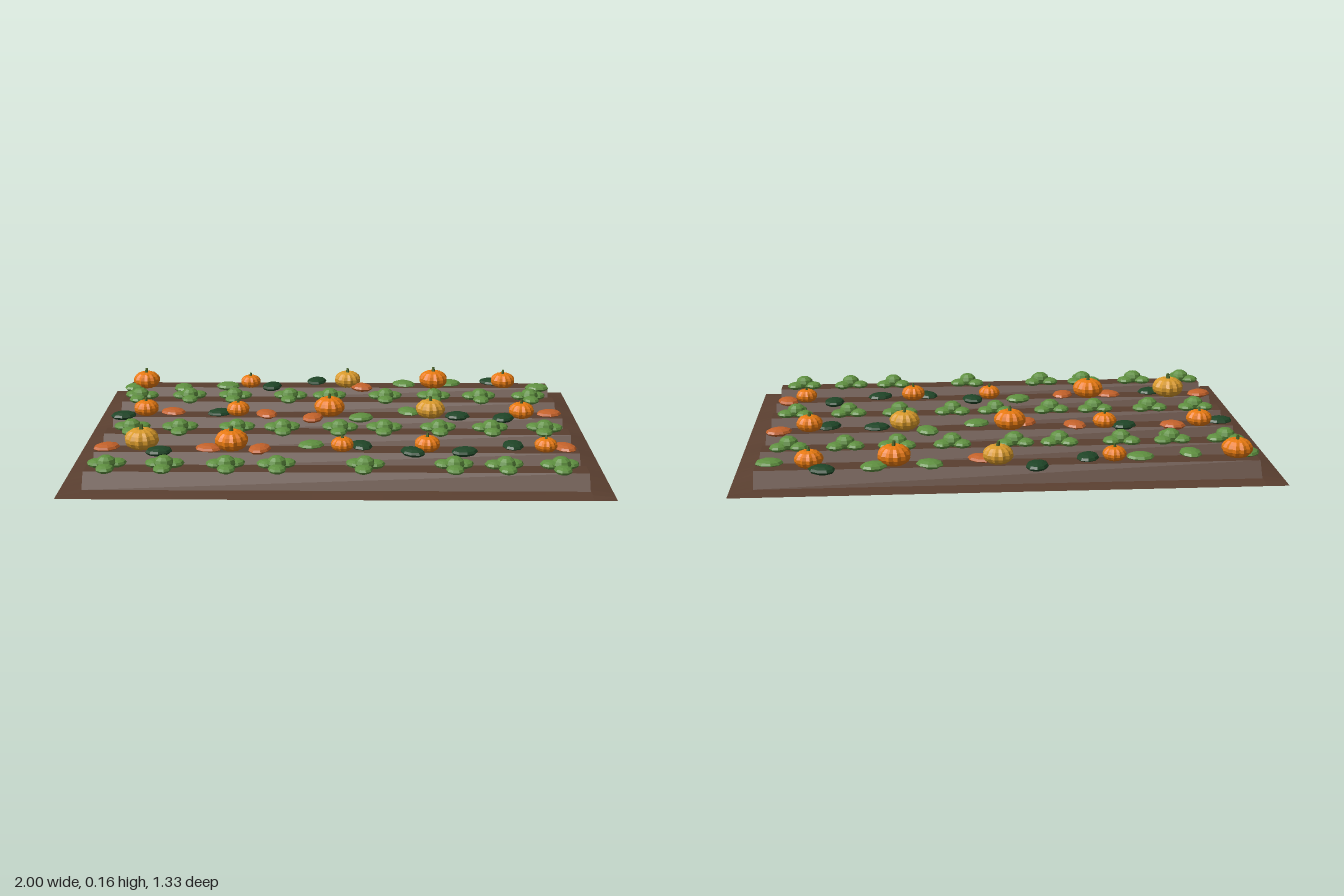
import * as THREE from 'three';

const mat = (name, color, extra = {}) => {
  const m = new THREE.MeshStandardMaterial({ color, flatShading: true, ...extra });
  m.name = name;
  return m;
};

export function createModel() {
  const soil = mat('soil', 0x5a3f30, { side: THREE.DoubleSide });
  const orange = mat('orange', 0xe87a10);
  const amber = mat('amber', 0xd99a2b);
  const rust = mat('rust', 0xc4622a);
  const leafGreen = mat('leafGreen', 0x5f9040);
  const darkGreen = mat('darkGreen', 0x1f4527);
  const stemGreen = mat('stemGreen', 0x4f6a2c);

  const model = new THREE.Group();
  model.name = 'pumpkinPatch';
  let seed = 7;
  const rand = () => (seed = (seed * 16807) % 2147483647) / 2147483647;
  const add = (parent, name, geo, material, x = 0, y = 0, z = 0) => {
    const m = new THREE.Mesh(geo, material);
    m.name = name;
    m.position.set(x, y, z);
    parent.add(m);
    return m;
  };

  // Ground sheet: edges at y = 0, gently rippled inside
  const groundGeo = new THREE.PlaneGeometry(2, 1.334, 24, 36).rotateX(-Math.PI / 2);
  const gp = groundGeo.attributes.position;
  for (let i = 0; i < gp.count; i++) {
    const x = gp.getX(i), z = gp.getZ(i);
    const edge = Math.min(1, (1 - Math.abs(x)) / 0.1, (0.667 - Math.abs(z)) / 0.12);
    const ripple = 0.004 * Math.cos((z * Math.PI * 2) / 0.214) + 0.003 * Math.sin(x * 7 + z * 11);
    gp.setY(i, Math.max(0, edge) * (0.021 + ripple));
  }
  groundGeo.computeVertexNormals();
  add(model, 'ground', groundGeo, soil);

  // Raised planting ridges with a trapezoid section
  const section = new THREE.Shape([
    new THREE.Vector2(-0.077, 0.012), new THREE.Vector2(0.077, 0.012),
    new THREE.Vector2(0.038, 0.068), new THREE.Vector2(-0.038, 0.068),
  ]);
  const ridgeGeo = new THREE.ExtrudeGeometry(section, { depth: 1.826, bevelEnabled: false })
    .translate(0, 0, -0.913).rotateY(Math.PI / 2);
  const rowZ = [-0.54, -0.326, -0.112, 0.102, 0.316, 0.53];
  rowZ.forEach((z) => add(model, 'ridge', ridgeGeo, soil, 0, 0, z));

  // Leafy plants: a raised heart with three low leaves
  const blob = new THREE.SphereGeometry(1, 9, 6);
  const plantRows = [
    [-0.326, [-0.84, -0.63, -0.44, -0.205, -0.035, 0.2, 0.405, 0.6, 0.81]],
    [0.102, [-0.81, -0.62, -0.395, -0.215, 0.01, 0.185, 0.4, 0.605, 0.815]],
    [0.53, [-0.835, -0.625, -0.4, -0.215, 0.105, 0.43, 0.615, 0.815]],
  ];
  for (const [z, xs] of plantRows) for (const x of xs) {
    const plant = new THREE.Group();
    plant.name = 'leafyPlant';
    plant.position.set(x, 0, z - 0.002);
    plant.rotation.y = (rand() - 0.5) * 0.3;
    model.add(plant);
    add(plant, 'heart', blob, leafGreen, 0, 0.09, 0).scale.set(0.037, 0.027, 0.037);
    for (let i = 0; i < 3; i++) {
      const a = Math.PI / 2 + (i * Math.PI * 2) / 3;
      const leaf = add(plant, 'leaf', blob, leafGreen, Math.cos(a) * 0.041, 0.08, Math.sin(a) * 0.041);
      leaf.scale.set(0.038, 0.016, 0.034);
      leaf.rotation.y = -a;
    }
  }

  // Ribbed pumpkin, radius 1, alternating ridge and groove
  const pumpkinGeo = new THREE.SphereGeometry(1, 24, 9);
  const pp = pumpkinGeo.attributes.position;
  for (let i = 0; i < pp.count; i++) {
    const x = pp.getX(i), y = pp.getY(i), z = pp.getZ(i);
    const r = 0.95 + 0.05 * Math.cos(12 * Math.atan2(z, x));
    const dimple = 1 - 0.15 * Math.max(0, 1 - Math.hypot(x, z) * 2.5);
    pp.setXYZ(i, x * r, y * 0.66 * dimple, z * r);
  }
  pumpkinGeo.computeVertexNormals();
  const stemGeo = new THREE.CylinderGeometry(0.09, 0.14, 0.4, 6);

  // x, z, radius, colour
  const pumpkins = [
    [-0.84, -0.517, 0.058, orange], [-0.385, -0.527, 0.044, orange], [0.04, -0.533, 0.057, amber],
    [0.415, -0.527, 0.062, orange], [0.72, -0.533, 0.053, orange],
    [-0.783, -0.12, 0.051, orange], [-0.407, -0.12, 0.047, orange], [-0.033, -0.12, 0.063, orange],
    [0.378, -0.1, 0.06, amber], [0.748, -0.097, 0.052, orange],
    [-0.738, 0.302, 0.066, amber], [-0.397, 0.31, 0.064, orange], [0.022, 0.317, 0.044, orange],
    [0.343, 0.317, 0.049, orange], [0.79, 0.317, 0.044, orange],
  ];
  for (const [x, z, r, m] of pumpkins) {
    const p = new THREE.Group();
    p.name = 'pumpkin';
    p.position.set(x, 0.06 + 0.66 * r, z);
    p.scale.setScalar(r);
    p.rotation.y = rand() * 6;
    model.add(p);
    add(p, 'pumpkinBody', pumpkinGeo, m);
    add(p, 'stem', stemGeo, stemGreen, 0, 0.68, 0).rotation.z = 0.12;
  }

  // Flat gourds and leaves beside the pumpkins: x, z, yaw, colour
  const D = darkGreen, L = leafGreen, R = rust;
  const gourds = [
    [-0.885, -0.495, 0.8, L], [-0.675, -0.485, 1.7, L], [-0.483, -0.515, 0, L], [-0.29, -0.51, 1.2, D],
    [-0.097, -0.59, 1.2, D], [0.1, -0.5, -0.6, R], [0.287, -0.548, -0.4, L], [0.487, -0.56, 0.4, L],
    [0.672, -0.585, -0.5, D], [0.865, -0.5, 0, L],
    [-0.872, -0.088, 0.2, D], [-0.675, -0.136, -0.3, R], [-0.483, -0.126, 0.4, D], [-0.29, -0.11, -1, R],
    [-0.1, -0.063, 1.2, R], [0.095, -0.068, 0.3, L], [0.29, -0.147, -1, L], [0.487, -0.093, 0.1, D],
    [0.672, -0.068, 0.9, D], [0.865, -0.126, 0.3, R],
    [-0.872, 0.307, 0.5, R], [-0.668, 0.35, 0.3, D], [-0.483, 0.317, -0.2, R], [-0.29, 0.323, 1.1, R],
    [-0.097, 0.275, 0.3, L], [0.095, 0.28, -1.2, D], [0.287, 0.35, -0.8, D], [0.482, 0.345, 0.4, D],
    [0.672, 0.275, 1.5, D], [0.865, 0.297, -1.1, R],
  ];
  for (const [x, z, yaw, m] of gourds) {
    const g = add(model, m === L ? 'groundLeaf' : 'gourd', blob, m, x, 0.071, z);
    g.scale.set(0.052, 0.017, 0.041);
    g.rotation.y = yaw;
  }
  return model;
}
